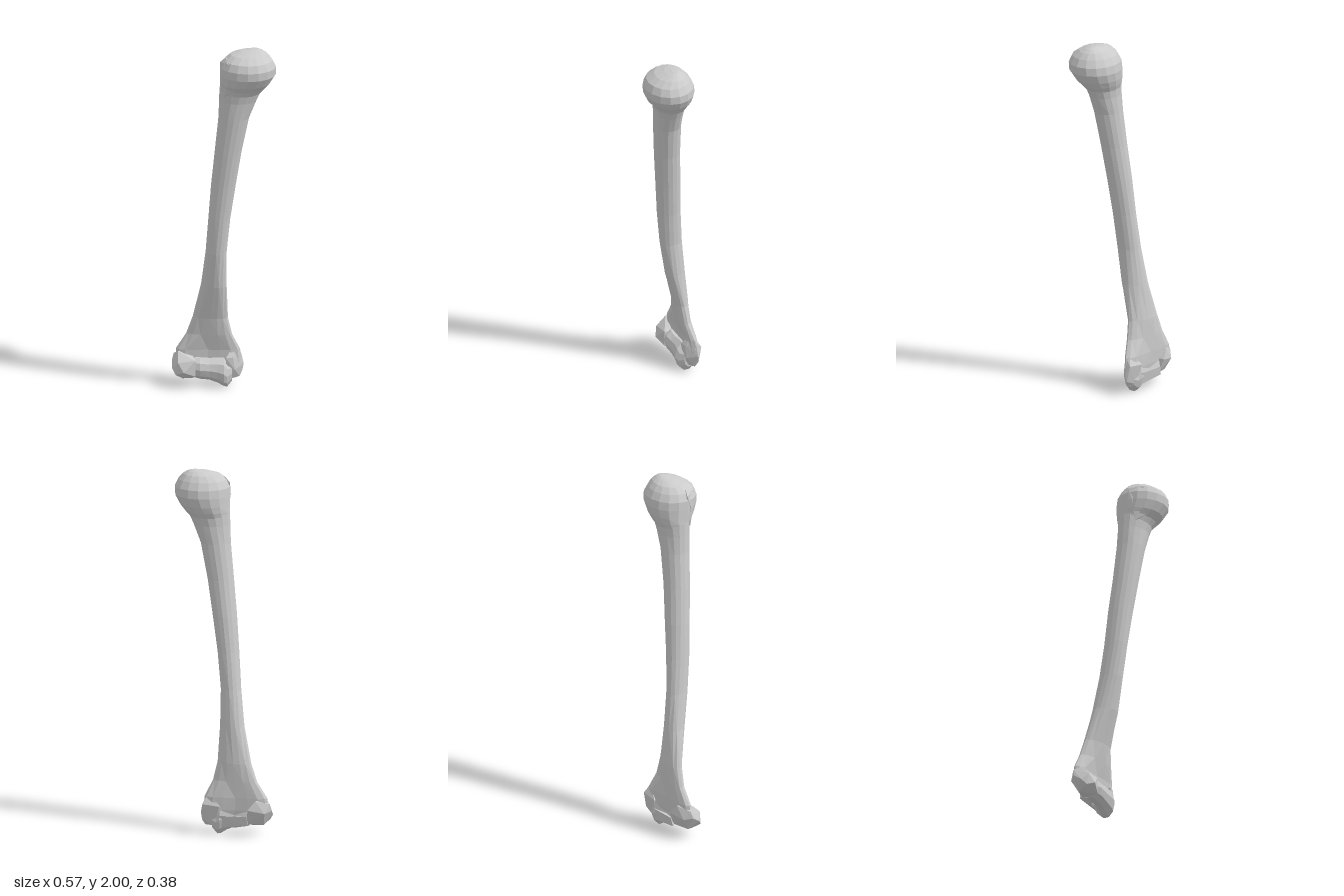
import * as THREE from 'three';
import { ConvexGeometry } from 'three/addons/geometries/ConvexGeometry.js';

const material = new THREE.MeshStandardMaterial({ color: 0xcccccc, flatShading: true });

// Skin a stack of closed rings and cap both ends.
function loft(rings) {
  const n = rings[0].length, pos = [], idx = [];
  rings.forEach((r) => r.forEach((p) => pos.push(p.x, p.y, p.z)));
  for (let i = 0; i < rings.length - 1; i++) {
    for (let j = 0; j < n; j++) {
      const k = (j + 1) % n;
      const a = i * n + j, b = i * n + k, c = a + n, d = b + n;
      if ((i + j) % 2) idx.push(a, c, b, b, c, d);
      else idx.push(a, c, d, a, d, b);
    }
  }
  [0, rings.length - 1].forEach((i) => {
    const m = rings[i].reduce((s, p) => s.add(p), new THREE.Vector3()).divideScalar(n);
    const centre = pos.length / 3;
    pos.push(m.x, m.y, m.z);
    for (let j = 0; j < n; j++) {
      const a = i * n + j, b = i * n + (j + 1) % n;
      if (i === 0) idx.push(centre, a, b);
      else idx.push(centre, b, a);
    }
  });
  const g = new THREE.BufferGeometry();
  g.setAttribute('position', new THREE.Float32BufferAttribute(pos, 3));
  g.setIndex(idx);
  g.computeVertexNormals();
  return g;
}

// Level ring from its x and z limits; shear swings the sides back and forth,
// pinch hollows the middle of the front and back.
function levelRing([y, x0, x1, z0, z1, shear = 0, pinch = 0], n = 16) {
  const cx = (x0 + x1) / 2, cz = (z0 + z1) / 2, hx = (x1 - x0) / 2, hz = (z1 - z0) / 2;
  return Array.from({ length: n }, (_, j) => {
    const a = (j / n) * Math.PI * 2, c = Math.cos(a), s = Math.sin(a);
    const depth = hz * s * (1 - pinch * Math.pow(Math.abs(s), 4));
    return new THREE.Vector3(cx + hx * c, y, cz + depth + shear * hx * c);
  });
}

// Upright ring across the joint, used along x.
function crossRing([x, y0, y1, z0, z1], n = 10) {
  return Array.from({ length: n }, (_, j) => {
    const a = ((j + 0.5) / n) * Math.PI * 2;
    return new THREE.Vector3(x, (y0 + y1) / 2 + ((y1 - y0) / 2) * Math.cos(a),
      (z0 + z1) / 2 - ((z1 - z0) / 2) * Math.sin(a));
  });
}

const blob = (points) => new ConvexGeometry(points.map((p) => new THREE.Vector3(...p)));

export function createModel() {
  const group = new THREE.Group();
  const add = (name, geometry) => {
    const mesh = new THREE.Mesh(geometry, material);
    mesh.name = name;
    group.add(mesh);
  };

  // Long shaft, flattening and widening towards the lower joint
  add('shaft', loft([
    [0.08, -0.22, 0.07, -0.16, -0.08, 0, 0.3],
    [0.14, -0.265, 0.095, -0.18, -0.085, 0, 0.5],
    [0.21, -0.262, 0.088, -0.18, -0.085, 0.02, 0.45],
    [0.3, -0.205, 0.045, -0.165, -0.08, 0.12, 0.2],
    [0.4, -0.17, 0.022, -0.155, -0.07, 0.15],
    [0.6, -0.125, 0.015, -0.132, -0.015, 0.2],
    [0.8, -0.1, 0.015, -0.108, 0.02, 0.1],
    [1.0, -0.085, 0.035, -0.09, 0.042],
    [1.2, -0.07, 0.065, -0.078, 0.06],
    [1.4, -0.05, 0.097, -0.062, 0.08],
    [1.6, -0.03, 0.138, -0.053, 0.098],
    [1.7, -0.026, 0.178, -0.052, 0.105],
    [1.78, -0.024, 0.215, -0.06, 0.12],
  ].map((r) => levelRing(r))));

  // Rounded upper head with a ledge underneath
  add('head', loft([
    [1.72, -0.02, 0.175, -0.045, 0.1],
    [1.775, -0.022, 0.225, -0.07, 0.13],
    [1.81, -0.022, 0.255, -0.082, 0.162],
    [1.86, -0.022, 0.284, -0.09, 0.188],
    [1.905, -0.02, 0.286, -0.084, 0.19],
    [1.945, 0.0, 0.266, -0.062, 0.172],
    [1.975, 0.035, 0.24, -0.035, 0.128],
    [1.992, 0.09, 0.215, -0.005, 0.08],
    [2.0, 0.15, 0.19, 0.015, 0.045],
  ].map((r) => levelRing(r))));

  // Small raised bump at the front corner of the head
  add('headTubercle', blob([
    [-0.02, 1.93, 0.05], [-0.02, 1.86, 0.075], [0.01, 1.96, 0.06], [0.02, 1.94, 0.125],
    [0.08, 1.95, 0.12], [0.1, 1.91, 0.165], [0.02, 1.84, 0.125], [0.07, 1.8, 0.14],
    [0.0, 1.74, 0.085], [0.06, 1.72, 0.085], [0.08, 1.85, 0.05],
  ]));

  // Spool shaped hinge surface, deepest at its inner rim
  add('hingeSpool', loft([
    [-0.16, 0.05, 0.17, -0.17, -0.06],
    [-0.13, 0.045, 0.17, -0.165, -0.05],
    [-0.08, 0.04, 0.165, -0.155, -0.055],
    [-0.035, 0.022, 0.17, -0.165, -0.055],
    [0.0, 0.0, 0.17, -0.175, -0.05],
    [0.018, -0.002, 0.14, -0.165, -0.06],
    [0.045, 0.03, 0.13, -0.155, -0.085],
  ].map((r) => crossRing(r))));

  // Rounded knob on the right of the hinge
  add('rightCondyle', blob([
    [-0.285, 0.14, -0.13], [-0.283, 0.11, -0.085], [-0.275, 0.18, -0.14], [-0.265, 0.08, -0.06],
    [-0.25, 0.2, -0.11], [-0.25, 0.15, -0.055], [-0.225, 0.05, -0.09], [-0.22, 0.1, -0.035],
    [-0.24, 0.06, -0.13], [-0.17, 0.05, -0.1], [-0.155, 0.07, -0.06], [-0.155, 0.16, -0.06],
    [-0.25, 0.13, -0.17], [-0.2, 0.2, -0.175], [-0.16, 0.15, -0.193], [-0.15, 0.07, -0.16],
  ]));

  // Pointed knob on the left of the hinge
  add('leftEpicondyle', blob([
    [0.108, 0.12, -0.14], [0.095, 0.17, -0.165], [0.1, 0.08, -0.145], [0.085, 0.05, -0.13],
    [0.085, 0.2, -0.135], [0.06, 0.24, -0.13], [0.06, 0.1, -0.09], [0.05, 0.17, -0.09],
    [0.02, 0.04, -0.1], [0.01, 0.17, -0.08], [0.0, 0.16, -0.172], [0.03, 0.05, -0.15],
  ]));

  // Low shelf below the hollow at the back
  add('backShelf', blob([
    [-0.16, 0.06, -0.17], [-0.15, 0.11, -0.178], [0.0, 0.11, -0.173], [0.01, 0.04, -0.16],
    [-0.15, 0.1, -0.11], [0.0, 0.1, -0.11], [-0.08, 0.04, -0.14],
  ]));

  return group;
}
